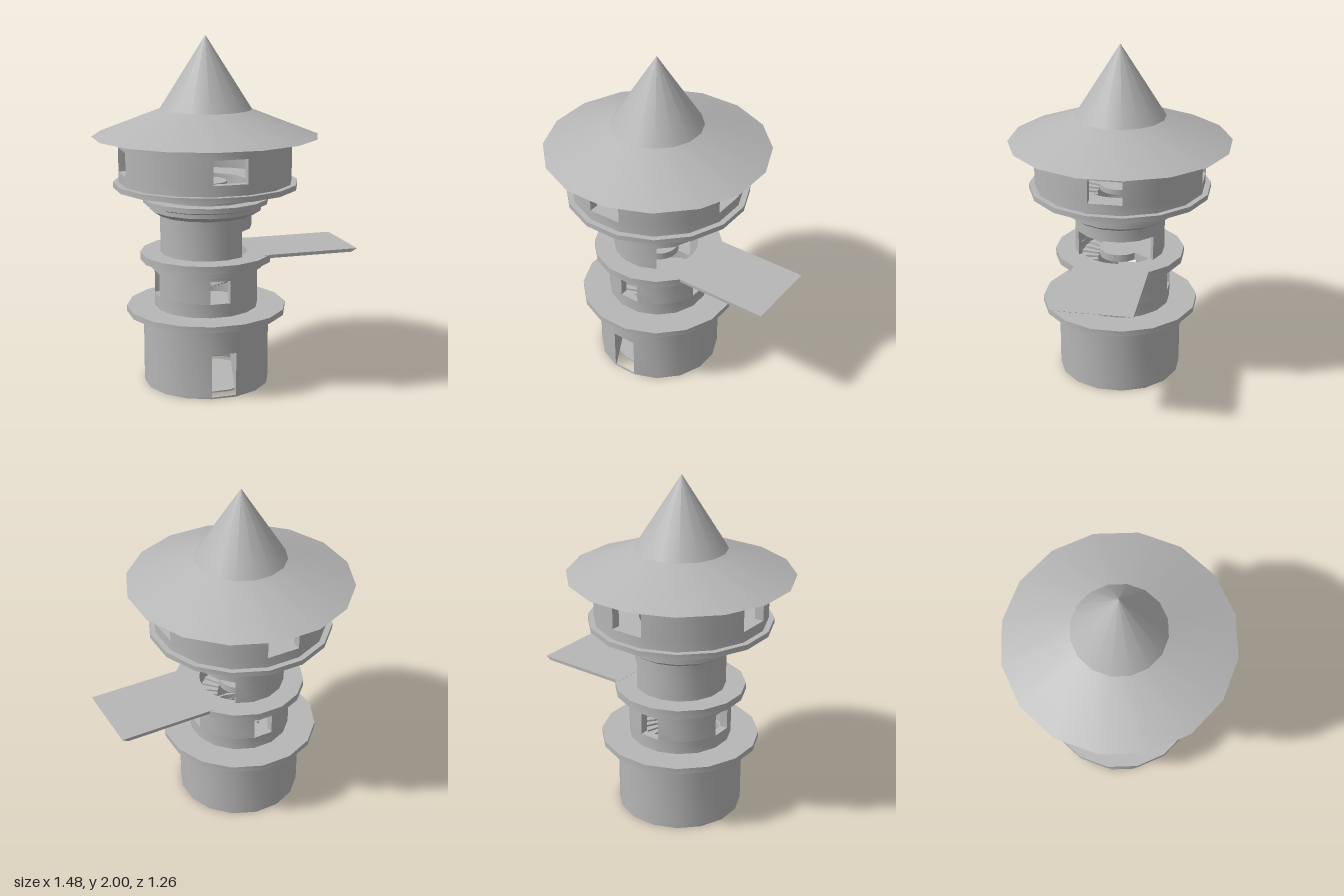
import * as THREE from 'three';
import { mergeGeometries, toCreasedNormals } from 'three/addons/utils/BufferGeometryUtils.js';

const SIDES = 16;
const STEP = (Math.PI * 2) / SIDES;
const K = 1 / Math.cos(STEP / 2); // flat-to-flat radius -> corner radius
const AXIS_X = -0.11;
const PITCH = 0.42; // stair rise per turn

const stone = new THREE.MeshStandardMaterial({ color: 0xb6b6b6, side: THREE.DoubleSide });
stone.name = 'grey stone';

const polar = (r, a) => new THREE.Vector2(r * Math.cos(a), r * Math.sin(a));
const stairAngle = (y) => ((y - 0.6) / PITCH) * Math.PI * 2;

// Vertical prism over a plan outline given in (x, z)
function prism(points, y0, y1, hole) {
  const shape = new THREE.Shape(points);
  if (hole) shape.holes.push(hole);
  const g = new THREE.ExtrudeGeometry(shape, { depth: y1 - y0, bevelEnabled: false, curveSegments: 24 });
  return g.rotateX(Math.PI / 2).translate(0, y1, 0);
}

// Sixteen-sided turned part from (radius, y) points, radius measured to the flats
function turned(points) {
  const profile = points.map(([r, y]) => new THREE.Vector2(r * K, y));
  return new THREE.LatheGeometry(profile, SIDES, STEP / 2);
}

// Faceted wall with some sides left open between lo and hi
function wall(r, thick, y0, y1, lo, hi, open, tapered) {
  const R = r * K, Ri = (r - thick) * K;
  const parts = [];
  for (const [a, b, gaps] of [[y0, lo, []], [lo, hi, open], [hi, y1, []]]) {
    if (b - a < 1e-4) continue;
    const isOpen = (k) => gaps.includes((k + SIDES) % SIDES);
    for (let k = 0; k < SIDES; k++) {
      if (isOpen(k)) continue;
      const a0 = (k - 0.5) * STEP, a1 = (k + 0.5) * STEP;
      // inner corner; beside an opening the jamb runs square to the opening
      const inner = (angle, next) => {
        if (tapered || !isOpen(next)) return polar(Ri, angle);
        return polar(R, angle).sub(polar(thick / Math.cos(STEP), next * STEP));
      };
      parts.push(prism([polar(R, a0), polar(R, a1), inner(a1, k + 1), inner(a0, k - 1)], a, b));
    }
  }
  const g = mergeGeometries(parts);
  if (tapered) {
    // inner face leans inward towards the top
    const p = g.attributes.position;
    for (let i = 0; i < p.count; i++) {
      const d = Math.hypot(p.getX(i), p.getZ(i));
      if (d > R - thick / 2) continue;
      const s = (R - 0.004 - 0.3 * p.getY(i)) / d;
      p.setX(i, p.getX(i) * s);
      p.setZ(i, p.getZ(i) * s);
    }
  }
  return g;
}

// Projecting floor slab with a curved stairwell cut in it
function floorSlab(r, y0, y1, ro = 0.235) {
  const outline = Array.from({ length: SIDES }, (_, k) => polar(r * K, (k + 0.5) * STEP));
  const end = stairAngle(y1), start = end - 3.5;
  const hole = new THREE.Path();
  hole.absarc(0, 0, ro, start, end, false);
  hole.absarc(0, 0, 0.12, end, start, true);
  hole.closePath();
  return prism(outline, y0, y1, hole);
}

// Spiral of thin treads
function stairs() {
  const treads = [];
  const count = 100, rise = 1.165 / count;
  for (let i = 0; i < count; i++) {
    const y = 0.015 + (i + 1) * rise;
    const a0 = stairAngle(y), a1 = a0 + (rise / PITCH) * Math.PI * 2;
    const ro = Math.max(0.238, 0.35 - 0.3 * y);
    treads.push(prism([polar(0.13, a0), polar(ro, a0), polar(ro, a1), polar(0.13, a1)], y - 0.016, y));
  }
  return mergeGeometries(treads);
}

// Landing deck with a bevelled outer end
function deck() {
  const s = new THREE.Shape([[0.28, 0.771], [0.85, 0.771], [0.817, 0.752], [0.28, 0.752]]
    .map(([x, y]) => new THREE.Vector2(x, y)));
  return new THREE.ExtrudeGeometry(s, { depth: 0.434, bevelEnabled: false }).translate(0, 0, -0.217);
}

export function createModel() {
  const group = new THREE.Group();
  group.name = 'tower';
  const add = (name, geometry) => {
    const mesh = new THREE.Mesh(toCreasedNormals(geometry, 0.5), stone);
    mesh.name = name;
    mesh.position.x = AXIS_X;
    group.add(mesh);
  };
  const cardinal = [0, 4, 8, 12];

  // Ground storey with its door at the front
  add('groundFloor', turned([[0, 0.004], [0.275, 0.004], [0.275, 0.012], [0, 0.012]]));
  add('groundWall', wall(0.357, 0.08, 0, 0.42, 0.01, 0.258, [4], true));
  add('lowerBalcony', floorSlab(0.452, 0.42, 0.453));

  // Second storey with four windows
  add('secondWall', wall(0.292, 0.045, 0.453, 0.69, 0.53, 0.66, cardinal));
  add('bracketRing', turned([[0.245, 0.69], [0.321, 0.69], [0.321, 0.727], [0.245, 0.727], [0.245, 0.69]]));
  add('middleBalcony', floorSlab(0.372, 0.727, 0.77));

  // Third storey, open towards the landing deck
  add('thirdWall', wall(0.258, 0.022, 0.77, 0.997, 0.77, 0.917, [14, 15, 0, 1, 2]));
  add('landingDeck', deck());
  add('cornice', turned([[0.236, 0.997], [0.275, 0.997], [0.316, 1.024], [0.316, 1.047], [0.33, 1.058],
    [0.352, 1.06], [0.352, 1.087], [0.278, 1.087], [0.278, 1.15], [0.236, 1.15], [0.236, 0.997]]));

  // Top storey with four windows
  add('upperBalcony', floorSlab(0.517, 1.15, 1.18));
  add('upperWall', wall(0.485, 0.05, 1.18, 1.44, 1.24, 1.375, cardinal));

  // Wide eaves and pointed spire
  add('roof', turned([[0, 1.44], [0.63, 1.44], [0.257, 1.588]]));
  add('spire', turned([[0.257, 1.588], [0, 2]]));

  add('spiralStairs', stairs());
  return group;
}
